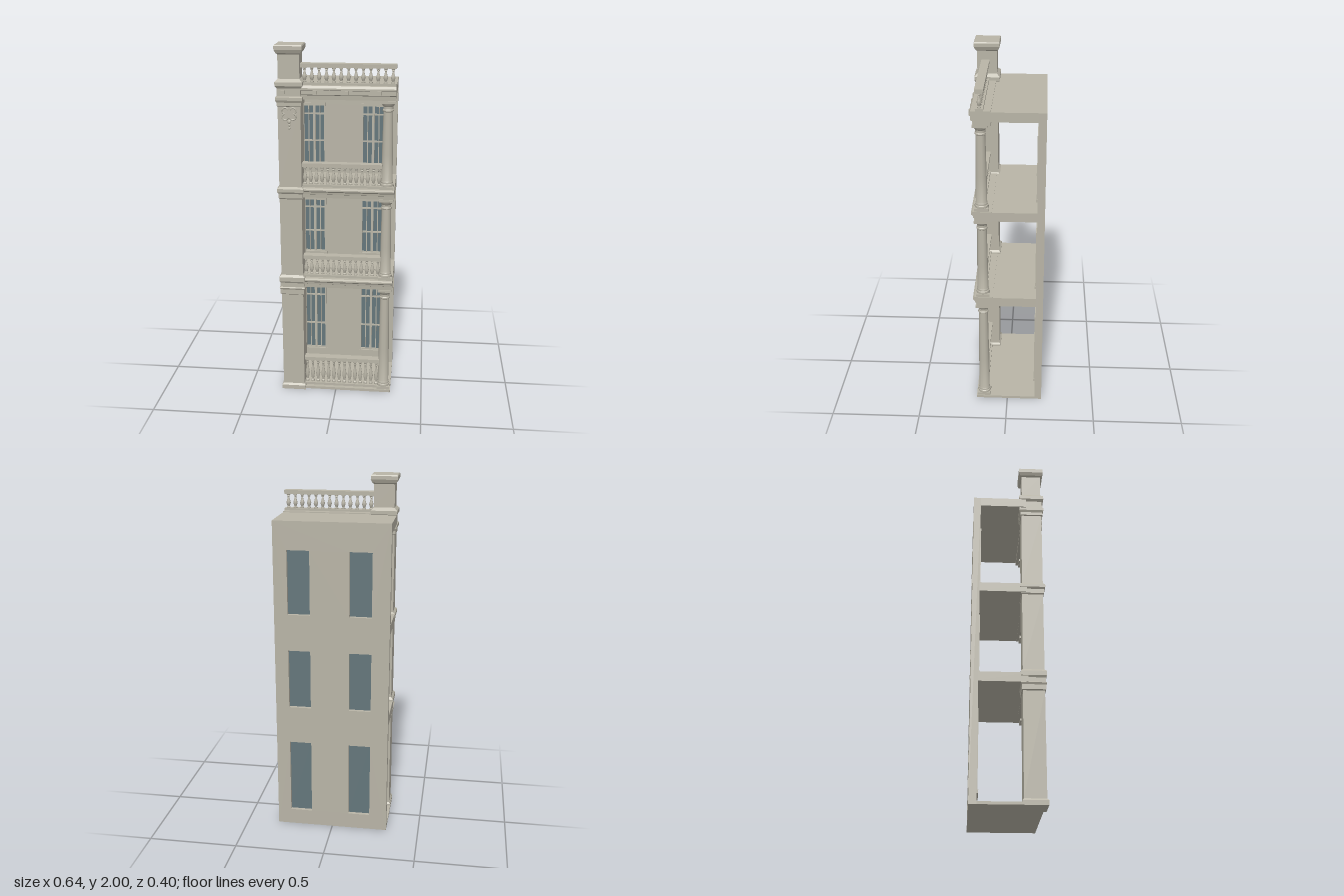
import * as THREE from 'three';
import { toCreasedNormals } from 'three/addons/utils/BufferGeometryUtils.js';

const stone = new THREE.MeshStandardMaterial({ color: 0xb8b4a6 });
stone.name = 'stone';
const glass = new THREE.MeshStandardMaterial({ color: 0x64767b });
glass.name = 'window glass';

const LEFT = -0.315, RIGHT = 0.318, BACK = -0.2, WALL_FRONT = -0.16;

function add(parent, name, geometry, material = stone) {
  const mesh = new THREE.Mesh(geometry, material);
  mesh.name = name;
  parent.add(mesh);
  return mesh;
}

// Box given by its limits on each axis
function block(parent, name, x0, x1, y0, y1, z0, z1, material = stone) {
  const mesh = add(parent, name, new THREE.BoxGeometry(x1 - x0, y1 - y0, z1 - z0), material);
  mesh.position.set((x0 + x1) / 2, (y0 + y1) / 2, (z0 + z1) / 2);
  return mesh;
}

function lathe(points, segments) {
  const profile = points.map(([r, y]) => new THREE.Vector2(r, y));
  return toCreasedNormals(new THREE.LatheGeometry(profile, segments), 0.6);
}

// Rectangular shaft whose outline swells by [offset, y] steps
function squareShaft(halfW, halfD, steps) {
  const pos = [];
  const ring = ([o, y]) => [[-1, 1], [1, 1], [1, -1], [-1, -1]]
    .map(([sx, sz]) => [sx * (halfW + o), y, sz * (halfD + o)]);
  const quad = (a, b, c, d) => pos.push(...a, ...b, ...c, ...a, ...c, ...d);
  for (let i = 0; i < steps.length - 1; i++) {
    const lo = ring(steps[i]), hi = ring(steps[i + 1]);
    for (let k = 0; k < 4; k++) {
      const n = (k + 1) % 4;
      quad(lo[k], lo[n], hi[n], hi[k]);
    }
  }
  quad(...ring(steps[0]).reverse());
  quad(...ring(steps[steps.length - 1]));
  const g = new THREE.BufferGeometry();
  g.setAttribute('position', new THREE.Float32BufferAttribute(pos, 3));
  g.computeVertexNormals();
  return g;
}

// Moulding with a [z, y] profile run along x
function moulding(parent, name, x0, x1, profile) {
  const shape = new THREE.Shape(profile.map(([z, y]) => new THREE.Vector2(-z, y)));
  const g = new THREE.ExtrudeGeometry(shape, { depth: x1 - x0, bevelEnabled: false });
  const mesh = add(parent, name, g);
  mesh.rotation.y = Math.PI / 2;
  mesh.position.x = x0;
  return mesh;
}

function makeWindow(x0, x1, y0, y1) {
  const g = new THREE.Group();
  g.name = 'window';
  const mid = (x0 + x1) / 2, h = y1 - y0, zb = -0.172, zf = -0.163;
  block(g, 'glass pane', x0, x1, y0, y1, -0.18, zb, glass);
  // casing standing proud of the wall
  block(g, 'left casing', x0 - 0.006, x0 + 0.004, y0, y1, zb, -0.154);
  block(g, 'right casing', x1 - 0.004, x1 + 0.006, y0, y1, zb, -0.154);
  block(g, 'head casing', x0 - 0.006, x1 + 0.006, y1 - 0.004, y1 + 0.008, zb, -0.154);
  block(g, 'sill', x0 - 0.01, x1 + 0.01, y0 - 0.012, y0 + 0.006, zb, -0.15);
  // sash bars
  block(g, 'centre mullion', mid - 0.007, mid + 0.007, y0, y1, zb, zf + 0.003);
  for (const s of [-1, 1]) {
    const c = mid + s * (x1 - x0) * 0.26;
    block(g, 'glazing bar', c - 0.0025, c + 0.0025, y0, y1, zb, zf);
  }
  for (const f of [0.02, 0.4, 0.84, 0.98]) {
    block(g, 'cross bar', x0, x1, y0 + h * f - 0.004, y0 + h * f + 0.004, zb, zf);
  }
  return g;
}

function makeColumn(y0, y1) {
  const g = new THREE.Group();
  g.name = 'column';
  const h = y1 - y0;
  block(g, 'plinth', -0.037, 0.037, 0, 0.016, -0.037, 0.037);
  block(g, 'abacus', -0.04, 0.04, h - 0.014, h, -0.04, 0.04);
  add(g, 'shaft', lathe([
    [0.036, 0.016], [0.037, 0.022], [0.036, 0.028], [0.032, 0.031], [0.033, 0.04], [0.03, 0.046],
    [0.0295, h * 0.4], [0.0255, h - 0.062], [0.0295, h - 0.058], [0.0295, h - 0.051],
    [0.026, h - 0.047], [0.026, h - 0.034], [0.031, h - 0.029], [0.037, h - 0.014],
  ], 24));
  g.position.set(0.276, y0, 0.136);
  return g;
}

function makeBalustrade(x0, x1, y0, y1, count) {
  const g = new THREE.Group();
  g.name = 'balustrade';
  const foot = y0 + 0.014, top = y1 - 0.022, h = top - foot, z = 0.138;
  block(g, 'bottom rail', x0, x1, y0, foot, z - 0.02, z + 0.02);
  block(g, 'hand rail', x0, x1, y1 - 0.015, y1, z - 0.0225, z + 0.0225);
  block(g, 'rail bed', x0, x1, top, y1 - 0.015, z - 0.017, z + 0.017);
  const geo = lathe([
    [0.0105, 0], [0.0105, 0.07], [0.006, 0.11], [0.009, 0.22], [0.0125, 0.36], [0.0095, 0.52],
    [0.0055, 0.7], [0.005, 0.8], [0.008, 0.84], [0.006, 0.89], [0.0105, 0.93], [0.0105, 1],
  ].map(([r, t]) => [r, t * h]), 10);
  for (let i = 0; i < count; i++) {
    const b = add(g, 'baluster', geo);
    b.position.set(x0 + (x1 - x0) * (i + 0.5) / count, foot, z);
  }
  return g;
}

// Scrolled cartouche with a hanging drop
function makeOrnament() {
  const g = new THREE.Group();
  g.name = 'pillar ornament';
  const scroll = new THREE.TorusGeometry(0.016, 0.0045, 6, 14, Math.PI * 1.3);
  for (const sx of [-1, 1]) for (const sy of [-1, 1]) {
    const m = add(g, 'scroll', scroll);
    m.position.set(sx * 0.021, sy * 0.016, 0);
    m.rotation.z = Math.atan2(sy, sx) - Math.PI * 0.65;
  }
  for (let i = 0; i < 3; i++) {
    const m = add(g, 'drop', new THREE.SphereGeometry(0.009 - i * 0.0017, 10, 6));
    m.scale.set(1, 1.2, 0.55);
    m.position.y = -0.043 - i * 0.017;
  }
  g.position.set(-0.2445, 1.64, 0.1885);
  return g;
}

export function createModel() {
  const model = new THREE.Group();
  model.name = 'three storey balcony facade';

  // Back wall with six window openings
  const wall = new THREE.Shape([[LEFT, 0], [RIGHT, 0], [RIGHT, 1.785], [LEFT, 1.785]]
    .map(([x, y]) => new THREE.Vector2(x, y)));
  for (const [y0, y1] of [[0.09, 0.522], [0.735, 1.07], [1.275, 1.63]]) {
    for (const [x0, x1] of [[-0.217, -0.095], [0.12, 0.243]]) {
      wall.holes.push(new THREE.Path([[x0, y0], [x0, y1], [x1, y1], [x1, y0]]
        .map(([x, y]) => new THREE.Vector2(x, y))));
      model.add(makeWindow(x0, x1, y0, y1));
    }
  }
  add(model, 'back wall', new THREE.ExtrudeGeometry(wall, { depth: WALL_FRONT - BACK, bevelEnabled: false }))
    .position.z = BACK;

  // Floors and roof
  block(model, 'ground slab', LEFT, RIGHT, 0, 0.015, WALL_FRONT, 0.18);
  for (const [name, y0, y1] of [['first floor', 0.647, 0.7], ['second floor', 1.178, 1.23], ['roof', 1.733, 1.785]]) {
    block(model, name + ' slab', LEFT, RIGHT, y0, y1, WALL_FRONT, 0.1);
  }

  // Moulded edge beams
  for (const [y0, y1] of [[0.645, 0.703], [1.176, 1.232]]) {
    const h = y1 - y0;
    moulding(model, 'floor edge beam', -0.25, RIGHT, [
      [0.08, y0], [0.17, y0], [0.172, y0 + h * 0.35], [0.178, y0 + h * 0.4], [0.18, y0 + h * 0.6],
      [0.19, y0 + h * 0.75], [0.19, y1 - 0.006], [0.182, y1], [0.08, y1],
    ]);
  }
  moulding(model, 'roof cornice', -0.25, RIGHT, [
    [0.08, 1.715], [0.17, 1.715], [0.172, 1.738], [0.182, 1.743], [0.182, 1.765], [0.19, 1.768],
    [0.19, 1.778], [0.182, 1.79], [0.08, 1.79],
  ]);
  for (let i = 0; i < 7; i++) {
    const x = -0.277 + i * 0.0845;
    block(model, 'cornice block', x - 0.01, x + 0.01, 1.746, 1.766, 0.175, 0.197);
  }

  // Corner pillar rising into a capped pier
  add(model, 'corner pillar', squareShaft(0.061, 0.0575, [
    [0.008, 0], [0.008, 0.025], [0, 0.035], [0, 0.603], [0.006, 0.608], [0.006, 0.635], [0.011, 0.645],
    [0.005, 0.65], [0.005, 0.675], [0.011, 0.685], [0.011, 0.71], [0, 0.722], [0, 1.168],
    [0.005, 1.175], [0.005, 1.2], [0.012, 1.21], [0.012, 1.228], [0, 1.238], [0, 1.678],
    [0.005, 1.682], [0.005, 1.7], [0.011, 1.712], [0.011, 1.728], [0.003, 1.733], [0.003, 1.775],
    [0.012, 1.788], [0.012, 1.808], [-0.004, 1.824], [-0.004, 1.95], [0.004, 1.957],
    [0.0125, 1.975], [0.0125, 1.994], [0.009, 2],
  ])).position.set(-0.2445, 0, 0.13);
  model.add(makeOrnament());

  // Columns and balustrades
  for (const [y0, y1] of [[0.015, 0.645], [0.703, 1.176], [1.232, 1.715]]) model.add(makeColumn(y0, y1));
  for (const [y0, y1] of [[0.015, 0.196], [0.703, 0.832], [1.232, 1.366]]) {
    model.add(makeBalustrade(-0.186, 0.25, y0, y1, 14));
  }
  model.add(makeBalustrade(-0.186, RIGHT, 1.788, 1.902, 13));

  return model;
}
